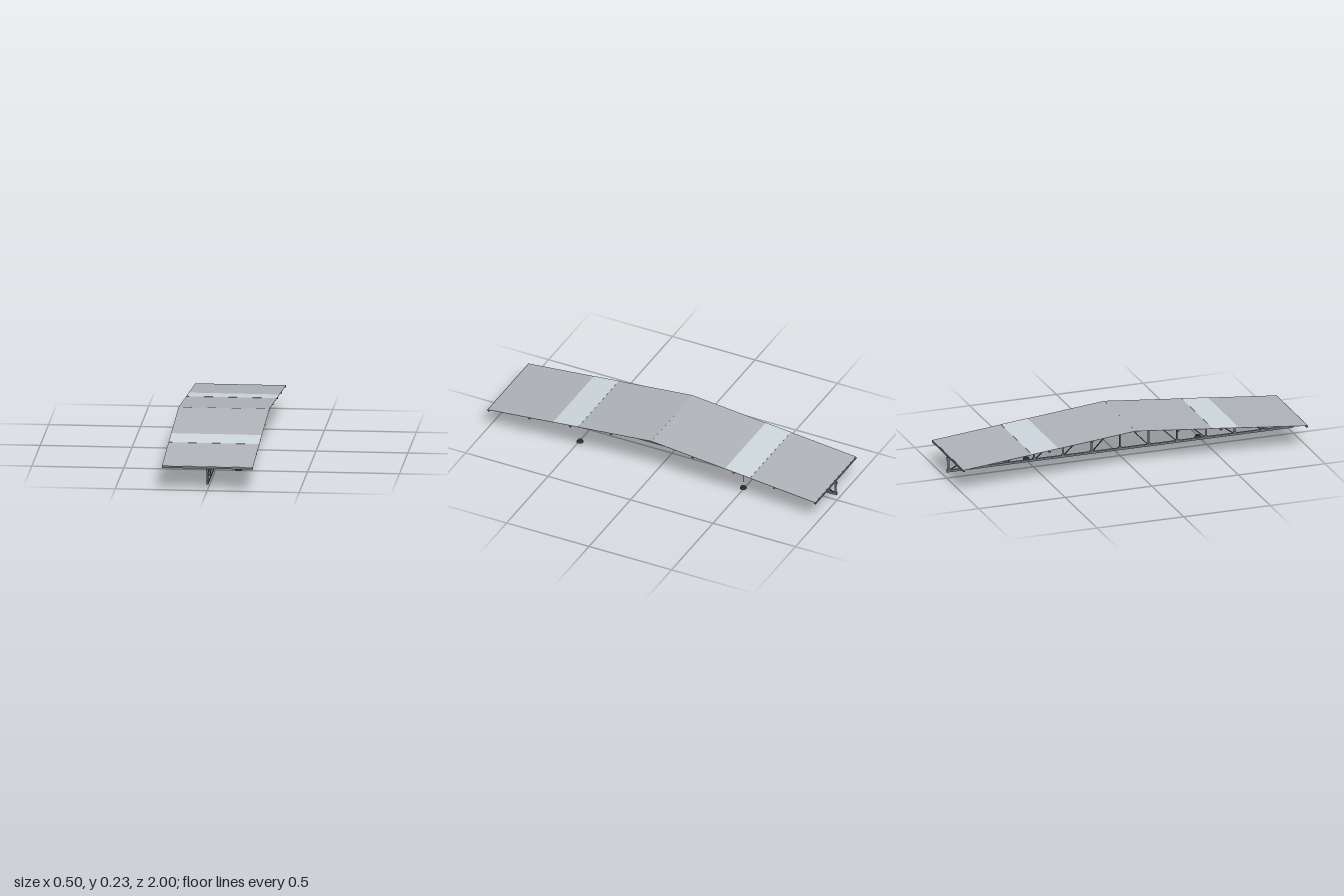
import * as THREE from 'three';

const END = 0.99; // half length of the truss
const HALF_W = 0.247; // half width of the roof
const BOTTOM_Y = 0.04;
const chordY = (z) => 0.212 - 0.099 * Math.abs(z);
const purlinY = (z) => 0.2235 - 0.0985 * Math.abs(z);
const sheetY = (z) => 0.2285 - 0.0985 * Math.abs(z);

const steel = new THREE.MeshStandardMaterial({ color: 0x727a84 });
const darkSteel = new THREE.MeshStandardMaterial({ color: 0x4a4f56 });
const sheet = new THREE.MeshStandardMaterial({ color: 0xb0b4ba });
const glazing = new THREE.MeshStandardMaterial({ color: 0xcdd7dd });
const lampDark = new THREE.MeshStandardMaterial({ color: 0x33363a, flatShading: true });

const v = (x, y, z) => new THREE.Vector3(x, y, z);

export function createModel() {
  const model = new THREE.Group();

  const add = (parent, name, geometry, material, position) => {
    const mesh = new THREE.Mesh(geometry, material);
    mesh.name = name;
    mesh.position.copy(position);
    parent.add(mesh);
    return mesh;
  };
  // Straight bar of rectangular section between two points
  const bar = (parent, name, a, b, w, h, material) => {
    const mid = a.clone().add(b).multiplyScalar(0.5);
    const mesh = add(parent, name, new THREE.BoxGeometry(w, h, a.distanceTo(b)), material, mid);
    mesh.lookAt(b);
    return mesh;
  };
  const group = (name) => {
    const g = new THREE.Group();
    g.name = name;
    model.add(g);
    return g;
  };

  // Truss in the middle plane
  const truss = group('truss');
  bar(truss, 'bottomChord', v(0, BOTTOM_Y, -1), v(0, BOTTOM_Y, 1), 0.011, 0.012, steel);
  const panels = 6;
  const step = END / panels;
  for (const s of [-1, 1]) {
    bar(truss, 'topChord', v(0, chordY(0), 0), v(0, chordY(1), s), 0.012, 0.013, steel);
  }
  for (let i = -panels; i <= panels; i++) {
    const z = i * step;
    const top = chordY(z);
    add(truss, 'post', new THREE.BoxGeometry(0.006, top - BOTTOM_Y, 0.009), steel,
      v(0, (top + BOTTOM_Y) / 2, z));
    // Gussets at the two ends of each post
    add(truss, 'gusset', new THREE.BoxGeometry(0.009, 0.018, 0.02), steel, v(0, top - 0.003, z));
    add(truss, 'gusset', new THREE.BoxGeometry(0.009, 0.018, 0.02), steel, v(0, BOTTOM_Y + 0.003, z));
    if (i !== 0) {
      const inner = z - Math.sign(i) * step;
      bar(truss, 'diagonal', v(0, BOTTOM_Y, z), v(0, chordY(inner), inner), 0.005, 0.005, darkSteel);
    }
  }

  // Purlins across the truss, with bracing rods in every other bay
  const purlins = group('purlins');
  const bay = END / 4;
  for (let i = -4; i <= 4; i++) {
    const z = i * bay;
    add(purlins, 'purlin', new THREE.BoxGeometry(2 * HALF_W, 0.01, 0.01), steel,
      v(0, purlinY(z), z));
    if (i % 2 !== 0) {
      const next = z + bay;
      bar(purlins, 'bracingRod', v(HALF_W, purlinY(z), z), v(-HALF_W, purlinY(next), next),
        0.003, 0.003, darkSteel);
    }
  }

  // Roof panels, with a lighter glazed band on each slope
  const roof = group('roof');
  const bands = [
    ['roofSheet', 0, 0.445, sheet, 0],
    ['skylight', 0.445, 0.597, glazing, 0.001],
    ['roofSheet', 0.597, END, sheet, 0],
  ];
  for (const s of [-1, 1]) {
    for (const [name, z0, z1, material, lift] of bands) {
      bar(roof, name, v(0, sheetY(z0) + lift, s * z0), v(0, sheetY(z1) + lift, s * z1),
        2 * HALF_W, 0.002, material);
    }
  }

  // Hanging lamps on the left side
  for (const z of [-2 * bay, 2 * bay]) {
    const lamp = group('pendantLamp');
    const top = purlinY(z);
    add(lamp, 'lampShade', new THREE.CylinderGeometry(0.013, 0.02, 0.012, 12), lampDark,
      v(0.124, 0.006, z));
    add(lamp, 'lampWire', new THREE.CylinderGeometry(0.0007, 0.0007, top - 0.04, 6), lampDark,
      v(0.124, (top + 0.04) / 2, z));
  }

  return model;
}
